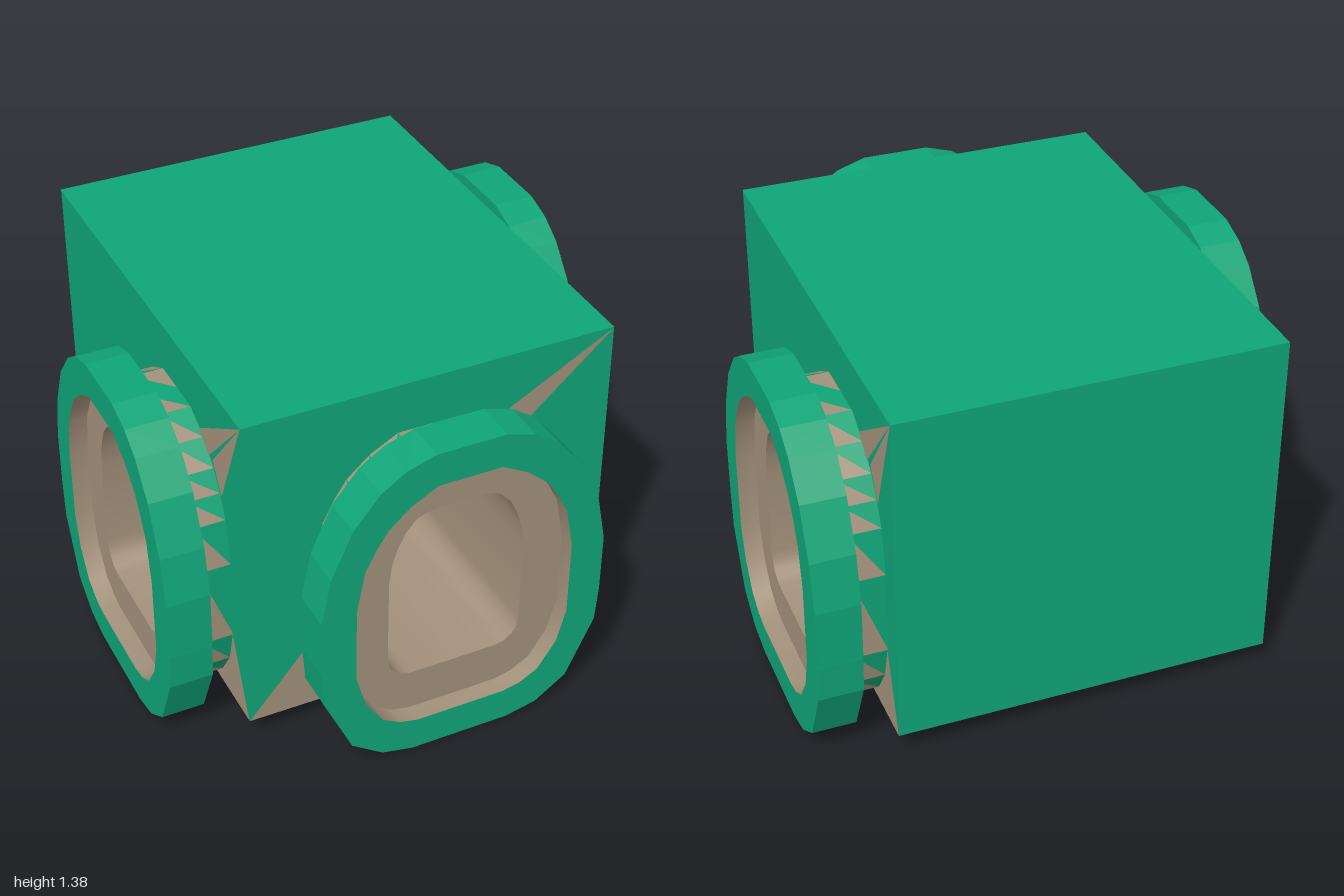
import * as THREE from 'three';
import { toCreasedNormals } from 'three/addons/utils/BufferGeometryUtils.js';

const green = new THREE.MeshStandardMaterial({ color: 0x10a577 });
green.name = 'green shell';
const tan = new THREE.MeshStandardMaterial({ color: 0xa3917b, side: THREE.DoubleSide });
tan.name = 'tan lining';

// Mirror a right half-profile (bottom to top) into a closed counter-clockwise loop.
function loop(half) {
  const inner = half.slice(1, -1).reverse().map(([u, v]) => [-u, v]);
  return [...half, ...inner];
}
const rimLoop = loop([[0, 0], [0.19, 0], [0.31, 0.026], [0.43, 0.11], [0.535, 0.34], [0.545, 0.48], [0.545, 0.71],
  [0.51, 0.89], [0.43, 1.07], [0.33, 1.19], [0.24, 1.25], [0.13, 1.285], [0, 1.285]]);
const openingLoop = loop([[0, 0.13], [0.17, 0.13], [0.24, 0.145], [0.31, 0.185], [0.38, 0.29], [0.415, 0.42],
  [0.415, 0.72], [0.385, 0.88], [0.345, 0.96], [0.3, 1.03], [0.22, 1.1], [0.12, 1.155], [0, 1.155]]);
const tunnelLoop = loop([[0, 0.295], [0.17, 0.295], [0.205, 0.303], [0.235, 0.325], [0.253, 0.355], [0.26, 0.39],
  [0.26, 0.73], [0.25, 0.81], [0.23, 0.875], [0.2, 0.935], [0.16, 0.98], [0.125, 0.995], [0.09, 1], [0, 1]]);
const scaled = (pts, s) => pts.map(([u, v]) => [u * s, 0.6425 + (v - 0.6425) * s]);
const neckLoop = scaled(openingLoop, 1.065);

function addMesh(group, name, geometry, material) {
  const mesh = new THREE.Mesh(geometry, material);
  mesh.name = name;
  group.add(mesh);
  return mesh;
}

function fromTriangles(tris, crease = 0.05) {
  const g = new THREE.BufferGeometry();
  g.setAttribute('position', new THREE.Float32BufferAttribute(tris.flat(2), 3));
  return toCreasedNormals(g, crease);
}

// Triangles of a wall around a loop, running between the depths from(u, side) and to(u, side).
function wallTriangles(pts, from, to) {
  const tris = [];
  pts.forEach((p, i) => {
    const q = pts[(i + 1) % pts.length];
    const side = Math.sign(p[0] + q[0]);
    const a = [...p, from(p[0], side)], b = [...q, from(q[0], side)];
    const c = [...q, to(q[0], side)], d = [...p, to(p[0], side)];
    tris.push([a, b, c], [a, c, d]);
  });
  return tris;
}
const inward = tris => tris.map(([a, b, c]) => [a, c, b]);

// Flat outline with an optional hole, facing +z.
function plate(outline, hole, z) {
  const shape = new THREE.Shape(outline.map(p => new THREE.Vector2(...p)));
  if (hole) shape.holes.push(new THREE.Path(hole.map(p => new THREE.Vector2(...p))));
  return new THREE.ShapeGeometry(shape).translate(0, 0, z);
}

const NECK = 0.12, FRONT = 0.28, DISH = 0.21;

// One wall of the body with its neck, rim, recessed dish and tunnel arm, facing +z.
function port(name, uL, uR, arms) {
  const g = new THREE.Group();
  g.name = name;
  const at = z => () => z;

  addMesh(g, 'bodyWall', plate([[uL, 0.1], [uR, 0.1], [uR, 1.38], [uL, 1.38]], scaled(neckLoop, 0.9), 0), green);

  // Tan corner patches between the body corners and the neck
  const right = neckLoop.slice(1, 6);
  const left = right.slice(0, uL < -1 ? 4 : 5).map(([u, v]) => [-u, v]).reverse();
  const corner = [uR, 1.38];
  const patches = [[[uL, 0.1], ...left.reverse()], [[uR, 0.1], ...right]];
  if (uL < -1) patches.push([corner, [0.19, 1.14], [0.28, 1.08]], [corner, [0.32, 1.09], [0.39, 0.98]]);
  else patches.push([corner, [0.24, 1.13], [0.32, 1.045]]);
  patches.forEach(p => addMesh(g, 'cornerPatch', plate(p, null, 0.003), tan));

  // Neck with alternating triangles
  const neck = wallTriangles(neckLoop, at(0), at(NECK));
  const isTan = (t, i) => (t[0][0] + t[1][0] + t[2][0] > 0) === (i % 2 === 1);
  addMesh(g, 'neckShell', fromTriangles(neck.filter((t, i) => !isTan(t, i))), green);
  addMesh(g, 'neckTeeth', fromTriangles(neck.filter(isTan)), tan);

  // Rim
  addMesh(g, 'rimFace', plate(rimLoop, openingLoop, FRONT), green);
  addMesh(g, 'rimBack', plate(rimLoop, openingLoop, 0).rotateY(Math.PI).translate(0, 0, NECK), green);
  addMesh(g, 'rimSide', fromTriangles(wallTriangles(rimLoop, at(NECK), at(FRONT))), green);

  // Recessed dish and tunnel
  addMesh(g, 'dishWall', fromTriangles(inward(wallTriangles(openingLoop, at(DISH), at(FRONT))), 0.5), tan);
  addMesh(g, 'dishFloor', plate(openingLoop, tunnelLoop, DISH), tan);
  const tunnel = arms.flatMap(([from, to, keep]) =>
    inward(wallTriangles(tunnelLoop, from, to || at(DISH)))
      .filter(t => !keep || t[0][0] + t[1][0] + t[2][0] < 0));
  addMesh(g, 'tunnel', fromTriangles(tunnel, 0.6), tan);
  return g;
}

export function createModel() {
  const model = new THREE.Group();
  model.name = 'junctionBlock';

  // Closed sides of the body
  const top = addMesh(model, 'bodyTop', new THREE.PlaneGeometry(1.4, 1.72).rotateX(-Math.PI / 2), green);
  top.position.set(0, 1.38, -0.14);
  const bottom = addMesh(model, 'bodyBottom', new THREE.PlaneGeometry(1.4, 1.72).rotateX(Math.PI / 2), green);
  bottom.position.set(0, 0.1, -0.14);
  const back = addMesh(model, 'bodyBack', new THREE.PlaneGeometry(1.4, 1.28).rotateY(Math.PI), green);
  back.position.set(0, 0.74, -1);

  // Front arm: opened on one side by the left-hand branch, then mitred into the bend
  const frontPort = port('frontPort', -0.7, 0.7, [
    [(u, side) => (side > 0 ? -1.18 + u : -0.57 + Math.abs(u))],
    [u => -1.18 + u, u => -0.57 - Math.abs(u), true],
  ]);
  frontPort.position.z = 0.72;

  // Left arm: the other half of the mitred bend
  const leftPort = port('leftPort', -1.18, 0.54, [[u => -0.698 - u]]);
  leftPort.rotation.y = Math.PI / 2;
  leftPort.position.set(0.698, 0, -0.46);

  // Right arm: branch joining the front arm
  const rightPort = port('rightPort', -1.15, 0.57, [[u => -0.698 + Math.abs(u)]]);
  rightPort.rotation.y = -Math.PI / 2;
  rightPort.position.set(-0.698, 0, 0.15);

  model.add(frontPort, leftPort, rightPort);
  return model;
}
